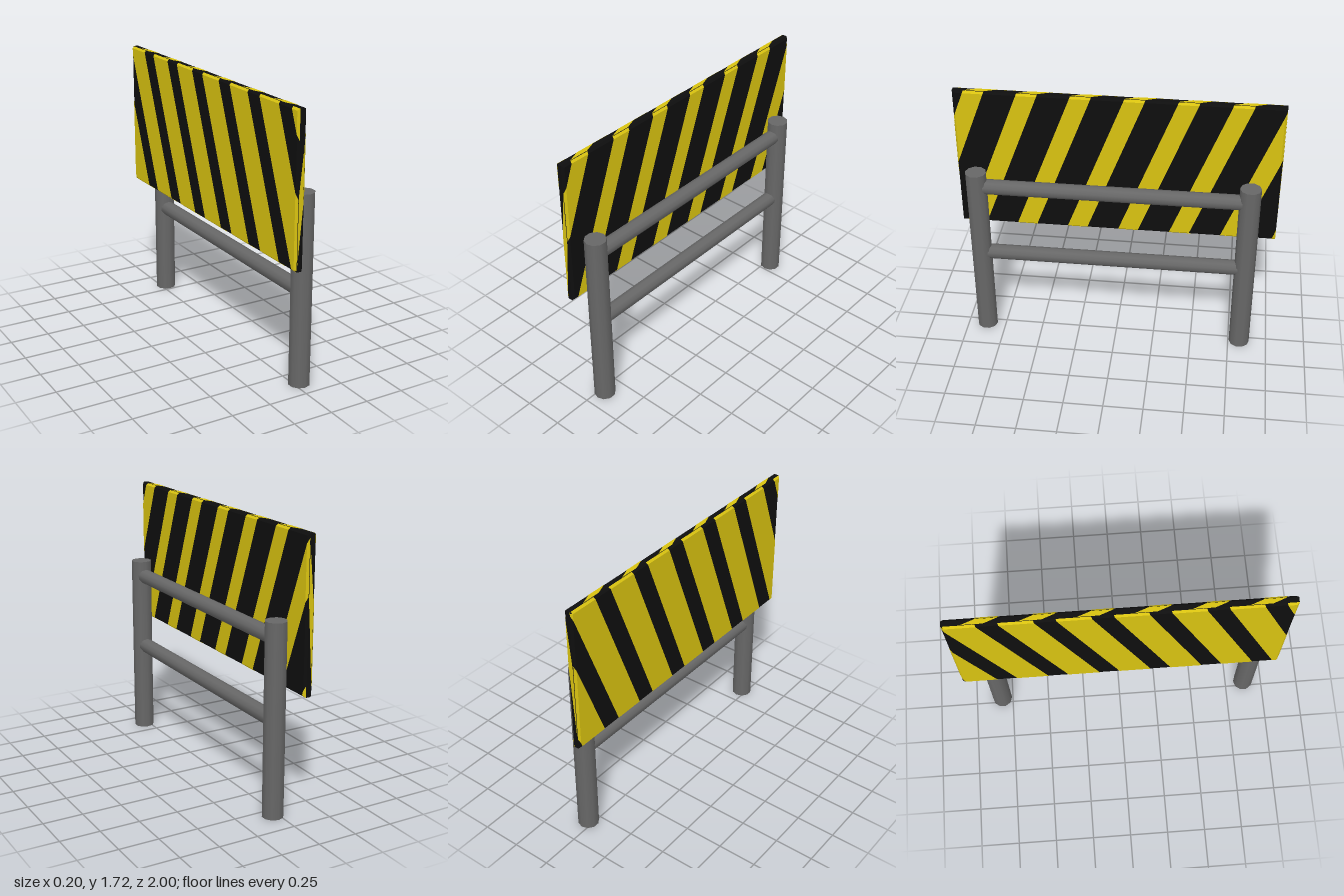
import * as THREE from 'three';

const BEVEL = 0.012, LIFT = 0.002;
const BOARD = { x: -0.073, half: 0.027, y0: 0.78, y1: 1.715 };
const PERIOD = 0.3235, SLOPE = -0.385, WIDTH = 0.126;

// Keep the part of a polygon where sign * p[axis] <= limit
function clip(poly, axis, sign, limit) {
  const out = [];
  poly.forEach((a, i) => {
    const b = poly[(i + 1) % poly.length];
    const da = limit - sign * a[axis], db = limit - sign * b[axis];
    if (da >= 0) out.push(a);
    if (da * db < 0) {
      const t = da / (da - db);
      out.push([a[0] + (b[0] - a[0]) * t, a[1] + (b[1] - a[1]) * t]);
    }
  });
  return out;
}

// Triangle fans from convex 3D polygons
function polygons(polys) {
  const pos = [];
  for (const p of polys)
    for (let i = 1; i < p.length - 1; i++) pos.push(...p[0], ...p[i], ...p[i + 1]);
  const g = new THREE.BufferGeometry();
  g.setAttribute('position', new THREE.Float32BufferAttribute(pos, 3));
  g.computeVertexNormals();
  return g;
}

// Slanted stripes over one large face, folded down over its bevels
function faceStripes(side, shift, width) {
  const { x, half, y0, y1 } = BOARD, polys = [];
  const zCuts = [-1, -1 + BEVEL, 1 - BEVEL, 1];
  const yCuts = [y0, y0 + BEVEL, y1 - BEVEL, y1];
  const fold = ([z, y]) => {
    const edge = Math.min(1 - Math.abs(z), y - y0, y1 - y);
    return [x + side * (half + LIFT - Math.max(0, BEVEL - edge)), y, z];
  };
  for (let k = -6; k <= 6; k++) {
    const at = (y, s) => [0.575 + shift + k * PERIOD + SLOPE * (y - 0.797) + s * width / 2, y];
    const stripe = [at(y0, -1), at(y0, 1), at(y1, 1), at(y1, -1)];
    for (let i = 0; i < 3; i++) for (let j = 0; j < 3; j++) {
      let p = clip(stripe, 0, 1, zCuts[i + 1]);
      p = clip(p, 0, -1, -zCuts[i]);
      p = clip(p, 1, 1, yCuts[j + 1]);
      p = clip(p, 1, -1, -yCuts[j]);
      if (p.length > 2) polys.push(p.map(fold));
    }
  }
  return polygons(polys);
}

// Skewed stripes along the narrow rims
function rimStripes() {
  const { x, half, y0, y1 } = BOARD, polys = [];
  const xr = x + half - BEVEL, xl = x - half + BEVEL;
  const end = (z, a, b, c, d) => polys.push([[xr, a, z], [xr, b, z], [xl, d, z], [xl, c, z]]);
  end(1 + LIFT, 1.17, 1.52, 0.82, 1.22);
  end(-1 - LIFT, 1.34, 1.66, 0.86, 1.34);
  for (const [y, centre] of [[y1 + LIFT, 0.222], [y0 - LIFT, 0.575]])
    for (let k = -6; k <= 6; k++) {
      const z = centre + k * PERIOD, w = WIDTH / 2;
      if (Math.abs(z) > 0.92) continue;
      polys.push([[xr, y, z - w], [xr, y, z + w], [xl, y, z + w - 0.08], [xl, y, z - w - 0.08]]);
    }
  return polygons(polys);
}

export function createModel() {
  const model = new THREE.Group();
  model.name = 'roadBarrier';
  const material = (name, color, extra) => {
    const m = new THREE.MeshStandardMaterial({ color, ...extra });
    m.name = name;
    return m;
  };
  const grey = material('postGrey', 0x676767);
  const black = material('boardBlack', 0x0e0e0e);
  const yellow = material('stripeYellow', 0xd8c210, { side: THREE.DoubleSide });
  const add = (name, geometry, mat, x = 0, y = 0, z = 0) => {
    const mesh = new THREE.Mesh(geometry, mat);
    mesh.name = name;
    mesh.position.set(x, y, z);
    model.add(mesh);
    return mesh;
  };

  // Upright posts
  const post = new THREE.CylinderGeometry(0.066, 0.066, 1.2, 10);
  add('frontPost', post, grey, 0.034, 0.6, 0.873);
  add('backPost', post, grey, 0.034, 0.6, -0.822);

  // Cross rails between the posts
  const rail = new THREE.CylinderGeometry(0.048, 0.048, 1.66, 10).rotateX(Math.PI / 2);
  add('upperRail', rail, grey, 0.033, 1.098, 0.025);
  add('lowerRail', rail, grey, 0.033, 0.603, 0.025);

  // Bevelled sign board
  const hy = (BOARD.y1 - BOARD.y0) / 2 - BEVEL, hz = 1 - BEVEL;
  const outline = new THREE.Shape([[-hz, -hy], [hz, -hy], [hz, hy], [-hz, hy]]
    .map(([a, b]) => new THREE.Vector2(a, b)));
  const depth = 2 * (BOARD.half - BEVEL);
  const board = new THREE.ExtrudeGeometry(outline, {
    depth, bevelEnabled: true, bevelSize: BEVEL, bevelThickness: BEVEL, bevelSegments: 1,
  }).translate(0, 0, -depth / 2).rotateY(-Math.PI / 2);
  add('board', board, black, BOARD.x, (BOARD.y0 + BOARD.y1) / 2, 0);

  // Warning stripes: narrow yellow on the post side, wide yellow on the other
  add('postSideStripes', faceStripes(1, 0, WIDTH), yellow);
  add('outerSideStripes', faceStripes(-1, PERIOD / 2, PERIOD - WIDTH), yellow);
  add('rimStripes', rimStripes(), yellow);
  return model;
}
